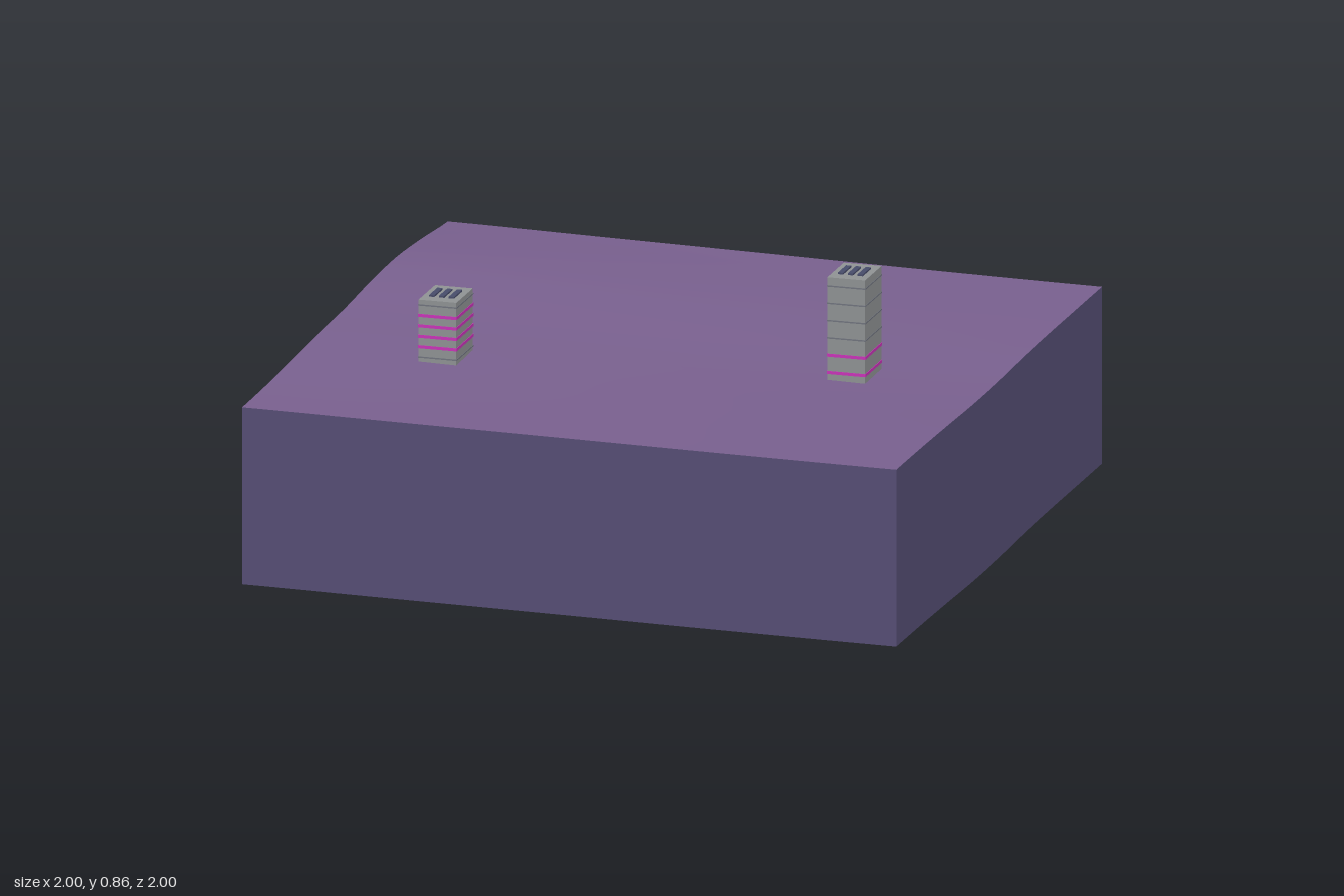
import * as THREE from 'three';

const material = (name, color, side = THREE.FrontSide) => {
  const m = new THREE.MeshStandardMaterial({ color, side });
  m.name = name;
  return m;
};

// Smooth curve through evenly spaced values over -1..1
function profile(values) {
  const curve = new THREE.SplineCurve(values.map((v, i) => new THREE.Vector2(i, v)));
  return (s) => curve.getPoint(THREE.MathUtils.clamp((s + 1) / 2, 0, 1)).y;
}
const leftEdge = profile([0.57, 0.588, 0.6, 0.595, 0.582, 0.578, 0.57, 0.563, 0.56]);
const rightEdge = profile([0.546, 0.546, 0.546, 0.544, 0.538, 0.537, 0.541, 0.544, 0.545]);
const blend = profile([1, 0.73, 0.47, 0.18, 0]);
const heightAt = (x, z) => THREE.MathUtils.lerp(rightEdge(z), leftEdge(z), blend(x));

const SKIRT = 0.537;
const SEGMENTS = 32;

// Lift every vertex by the ground height under it
function drape(geometry) {
  const p = geometry.attributes.position;
  for (let i = 0; i < p.count; i++) p.setY(i, p.getY(i) + heightAt(p.getX(i), p.getZ(i)));
  geometry.computeVertexNormals();
  return geometry;
}

function part(parent, name, geometry, mat, x = 0, y = 0, z = 0) {
  const mesh = new THREE.Mesh(geometry, mat);
  mesh.name = name;
  mesh.position.set(x, y, z);
  parent.add(mesh);
  return mesh;
}

export function createModel() {
  const group = new THREE.Group();
  group.name = 'terrainTile';
  const ground = material('purple ground', 0x7a6190, THREE.DoubleSide);
  const earth = material('dark violet earth', 0x574f76, THREE.DoubleSide);
  const concrete = material('grey concrete', 0x919496);
  const neon = material('magenta neon', 0xcc35bb);
  const seam = material('slate seam', 0x71757f);
  const panel = material('dark blue panel', 0x484d6c);

  // Rolling ground
  const top = new THREE.PlaneGeometry(2, 2, SEGMENTS, SEGMENTS).rotateX(-Math.PI / 2);
  part(group, 'ground', drape(top), ground);

  // Four open skirt walls that follow the ground edge
  for (let i = 0; i < 4; i++) {
    const wall = new THREE.PlaneGeometry(2, SKIRT, SEGMENTS, 1)
      .translate(0, -SKIRT / 2, 1)
      .rotateY((i * Math.PI) / 2);
    part(group, 'skirtWall', drape(wall), earth);
  }

  // Tower: block, one band per floor line, three roof panels
  function tower(name, x, z, height, litBands) {
    const t = new THREE.Group();
    t.name = name;
    t.position.set(x, heightAt(x, z) - 0.003, z);
    part(t, 'towerBlock', new THREE.BoxGeometry(0.115, height, 0.16), concrete, 0, height / 2, 0);
    litBands.forEach((lit, i) => {
      const y = (height * (i + 0.5)) / litBands.length;
      part(t, lit ? 'neonBand' : 'seamBand',
        new THREE.BoxGeometry(0.118, lit ? 0.009 : 0.004, 0.163), lit ? neon : seam, 0, y, 0);
    });
    for (const dx of [-0.03, 0, 0.03]) {
      part(t, 'roofPanel', new THREE.BoxGeometry(0.016, 0.006, 0.08), panel, dx, height + 0.002, 0);
    }
    group.add(t);
  }
  tower('shortTower', -0.588, 0.33, 0.19, [0, 1, 1, 1, 1, 0].map(Boolean));
  tower('tallTower', 0.583, 0.08, 0.315, [1, 1, 0, 0, 0, 0].map(Boolean));
  return group;
}
